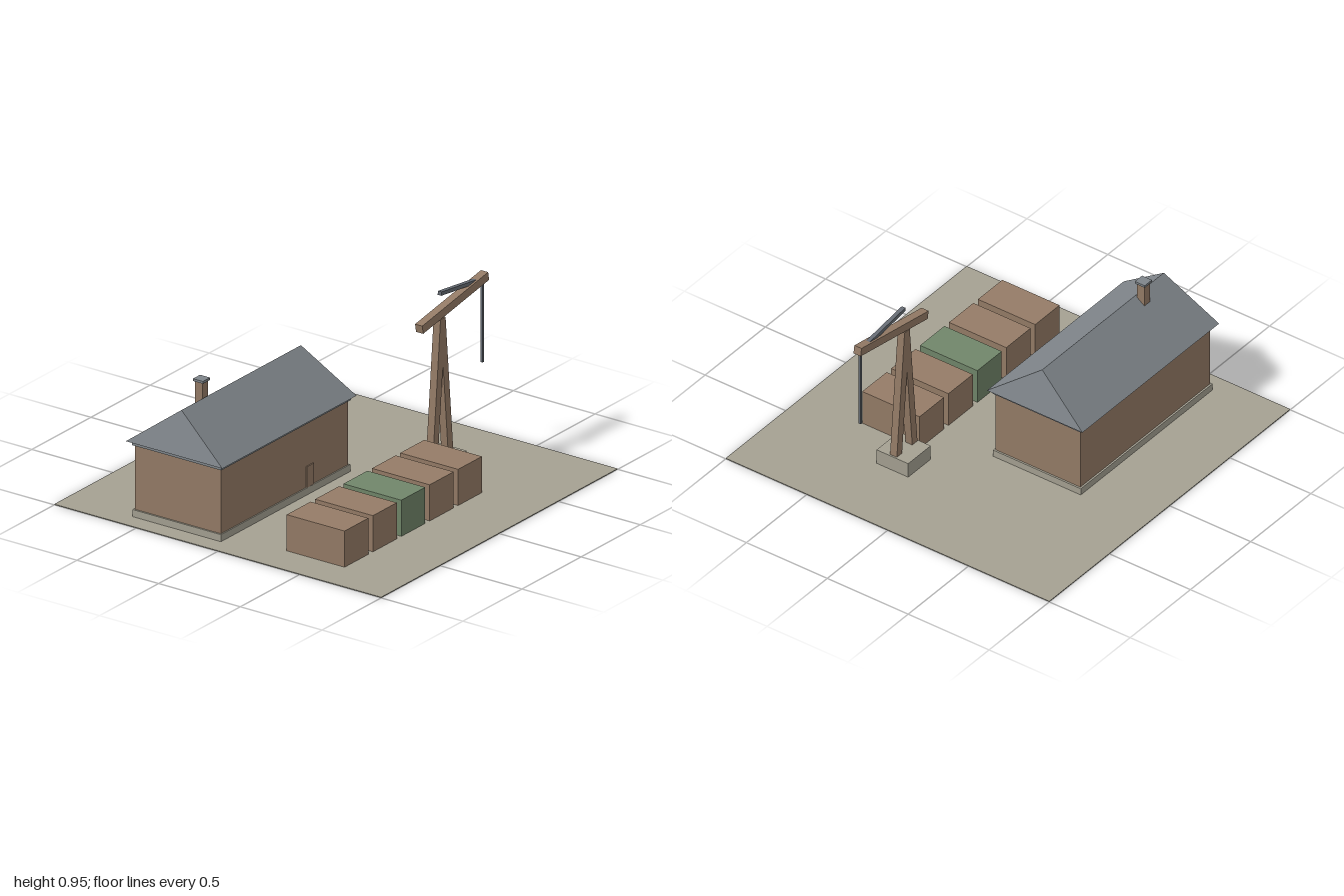
import * as THREE from 'three';

const mat = (name, color) => Object.assign(new THREE.MeshStandardMaterial({ color }), { name });

export function createModel() {
  const stone = mat('stone', 0xa5a192);
  const wood = mat('wood', 0x957c67);
  const slate = mat('slate', 0x7f858a);
  const green = mat('green', 0x71866a);
  const iron = mat('iron', 0x666c74);

  const model = new THREE.Group();
  model.name = 'harbourYard';
  const group = (name) => {
    const g = new THREE.Group();
    g.name = name;
    model.add(g);
    return g;
  };

  // Box given by its limits on each axis
  const box = (parent, name, material, x0, x1, y0, y1, z0, z1) => {
    const m = new THREE.Mesh(new THREE.BoxGeometry(x1 - x0, y1 - y0, z1 - z0), material);
    m.position.set((x0 + x1) / 2, (y0 + y1) / 2, (z0 + z1) / 2);
    m.name = name;
    parent.add(m);
    return m;
  };

  // Square bar between two points in a plane of constant z
  const bar = (parent, name, material, ax, ay, bx, by, thick, depth, z) => {
    const length = Math.hypot(bx - ax, by - ay);
    const m = new THREE.Mesh(new THREE.BoxGeometry(length, thick, depth), material);
    m.position.set((ax + bx) / 2, (ay + by) / 2, z);
    m.rotation.z = Math.atan2(by - ay, bx - ax);
    m.name = name;
    parent.add(m);
    return m;
  };

  box(model, 'ground', stone, -1, 1, 0, 0.004, -1, 1);

  // Warehouse
  const house = group('warehouse');
  box(house, 'plinth', stone, -0.9, 0.195, 0.002, 0.042, -0.595, -0.053);
  box(house, 'walls', wood, -0.89, 0.185, 0.04, 0.392, -0.585, -0.06);
  box(house, 'eaves', slate, -0.902, 0.197, 0.39, 0.411, -0.597, -0.05);
  box(house, 'door', wood, -0.17, -0.11, 0.042, 0.155, -0.06, -0.054);

  // Hipped roof: a box whose top edge is drawn in to a ridge
  const roofGeo = new THREE.BoxGeometry(1.135, 0.22, 0.59).toNonIndexed();
  const p = roofGeo.attributes.position;
  for (let i = 0; i < p.count; i++) {
    if (p.getY(i) > 0) p.setXYZ(i, Math.sign(p.getX(i)) * 0.505, p.getY(i), 0);
  }
  roofGeo.computeVertexNormals();
  const roof = new THREE.Mesh(roofGeo, slate);
  roof.name = 'roof';
  roof.position.set(-0.3525, 0.521, -0.325);
  house.add(roof);

  box(house, 'chimney', wood, -0.667, -0.622, 0.56, 0.71, -0.38, -0.333);
  box(house, 'chimneyCap', slate, -0.675, -0.615, 0.709, 0.722, -0.387, -0.326);

  // Row of crates, the middle one green
  const crates = group('crates');
  for (let i = 0; i < 5; i++) {
    const x = -0.7 + i * 0.24;
    box(crates, 'crate', i === 2 ? green : wood, x - 0.101, x + 0.101, 0.002, 0.199, 0.278, 0.632);
  }

  // Crane with an A-frame, sloping jib, stay and hanging cable
  const crane = group('crane');
  const z = 0.278;
  box(crane, 'craneBase', stone, 0.4, 0.587, 0.002, 0.087, 0.18, 0.375);
  for (const s of [-1, 1]) {
    bar(crane, 'craneLeg', wood, 0.492 + s * 0.065, 0.075, 0.492, 0.813, 0.043, 0.042, z);
  }
  bar(crane, 'jib', wood, 0.319, 0.812, 0.876, 0.91, 0.045, 0.044, z);
  bar(crane, 'stay', iron, 0.492, 0.944, 0.85, 0.9, 0.02, 0.022, z);
  box(crane, 'cable', iron, 0.846, 0.858, 0.45, 0.895, z - 0.006, z + 0.006);

  return model;
}
